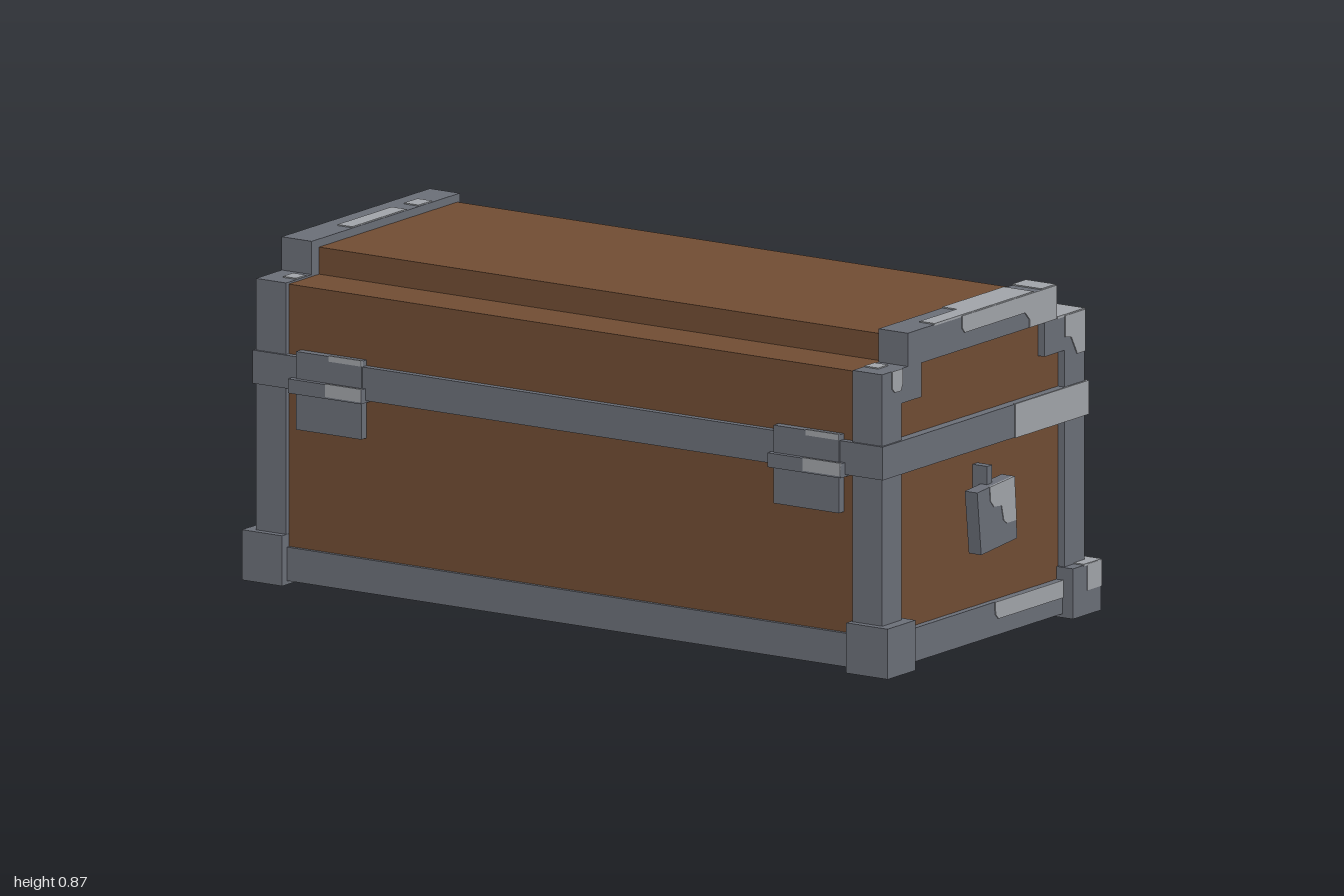
import * as THREE from 'three';

const mat = (name, color) => {
  const m = new THREE.MeshStandardMaterial({ color });
  m.name = name;
  return m;
};

export function createModel() {
  const wood = mat('brown wood', 0x704c33);
  const iron = mat('grey iron', 0x6a6e77);
  const worn = mat('worn light iron', 0xa0a3a8);
  const chest = new THREE.Group();
  chest.name = 'chest';

  const add = (name, geometry, material, parent = chest) => {
    const mesh = new THREE.Mesh(geometry, material);
    mesh.name = name;
    parent.add(mesh);
    return mesh;
  };
  // Box given by its limits on each axis
  const box = (name, material, x0, x1, y0, y1, z0, z1, parent) =>
    add(name, new THREE.BoxGeometry(x1 - x0, y1 - y0, z1 - z0)
      .translate((x0 + x1) / 2, (y0 + y1) / 2, (z0 + z1) / 2), material, parent);
  // Outline of [z, y] points extruded along x
  const slab = (name, material, x0, x1, points, parent) => {
    const shape = new THREE.Shape(points.map(p => new THREE.Vector2(...p)));
    const g = new THREE.ExtrudeGeometry(shape, { depth: x1 - x0, bevelEnabled: false });
    return add(name, g.rotateY(-Math.PI / 2).translate(x1, 0, 0), material, parent);
  };

  // Wooden body with stepped lid
  slab('woodenBody', wood, -0.94, 0.935, [
    [0.46, 0.02], [0.46, 0.775], [0.325, 0.775], [0.325, 0.845],
    [-0.29, 0.845], [-0.29, 0.775], [-0.418, 0.775], [-0.418, 0.02]]);

  // Stepped iron frame at each end
  const frame = [
    [0.472, 0.01], [0.472, 0.78], [0.358, 0.78], [0.358, 0.866],
    [-0.3, 0.866], [-0.3, 0.78], [-0.427, 0.78], [-0.427, 0.01],
    [-0.338, 0.01], [-0.338, 0.69], [-0.25, 0.69], [-0.25, 0.778],
    [0.297, 0.778], [0.297, 0.69], [0.385, 0.69], [0.385, 0.01]];
  slab('leftEndFrame', iron, 0.865, 0.955, frame);
  slab('rightEndFrame', iron, -0.96, -0.868, frame);

  // Base beams
  box('frontBaseBeam', iron, -0.87, 0.865, 0.01, 0.097, 0.385, 0.47);
  box('backBaseBeam', iron, -0.87, 0.865, 0.01, 0.097, -0.425, -0.338);
  box('leftBaseBeam', iron, 0.865, 0.953, 0.01, 0.097, -0.34, 0.387);
  box('rightBaseBeam', iron, -0.958, -0.868, 0.01, 0.097, -0.34, 0.387);

  // Corner feet
  for (const [x0, x1] of [[-0.99, -0.867], [0.858, 0.985]])
    for (const [z0, z1] of [[0.367, 0.491], [-0.457, -0.332]])
      box('cornerFoot', iron, x0, x1, 0, 0.13, z0, z1);

  // Band around the middle
  box('band', iron, -0.966, 0.961, 0.509, 0.595, -0.432, 0.478);

  // Hinges on the front
  for (const s of [-1, 1]) {
    const x = s * 0.73;
    box('hingePlate', iron, x - 0.1, x + 0.1, 0.408, 0.61, 0.45, 0.483);
    const k = s < 0 ? -0.733 : 0.733;
    box('hingeKnuckle', iron, k - 0.112, k + 0.112, 0.503, 0.54, 0.45, 0.497);
    box('hingeWear', worn, x, k + 0.112, 0.508, 0.542, 0.492, 0.499);
    box('hingeTopWear', worn, x, x + 0.1, 0.597, 0.612, 0.478, 0.485);
  }

  // Lock on the back
  box('lockPlate', iron, -0.13, 0.12, 0.427, 0.615, -0.478, -0.41);
  box('lockHasp', iron, -0.055, 0.045, 0.44, 0.602, -0.496, -0.47);
  box('lockTopWear', worn, -0.13, 0.122, 0.61, 0.617, -0.479, -0.432);
  box('lockSideWear', worn, 0.117, 0.122, 0.485, 0.616, -0.479, -0.432);
  box('lockFaceWear', worn, 0.045, 0.121, 0.485, 0.616, -0.48, -0.475);
  box('haspWear', worn, 0, 0.046, 0.5, 0.603, -0.498, -0.494);

  // Tilted pull on each end, turned half round for the right side
  for (const turn of [0, Math.PI]) {
    const pull = new THREE.Group();
    pull.name = turn ? 'rightPull' : 'leftPull';
    slab('pullBlock', iron, 0.96, 0.998,
      [[0.09, 0.412], [0.072, 0.248], [-0.088, 0.262], [-0.074, 0.425]], pull);
    slab('pullWear', worn, 0.994, 1.0,
      [[0.036, 0.417], [0.033, 0.38], [0.018, 0.363], [-0.016, 0.36],
        [-0.026, 0.32], [-0.04, 0.31], [-0.083, 0.31], [-0.074, 0.425]], pull);
    box('pullTab', iron, 0.93, 0.98, 0.4, 0.465, -0.003, 0.02, pull);
    box('pullMount', iron, 0.93, 0.965, 0.3, 0.38, -0.03, 0.03, pull);
    pull.rotation.y = turn;
    pull.position.z = 0.022;
    chest.add(pull);
  }

  // Worn patches on the left end
  const t = 0.003;
  slab('frameWear', worn, 0.952, 0.955 + t, [[0.12, 0.866], [0.12, 0.835], [0.108, 0.821],
    [-0.16, 0.821], [-0.18, 0.8], [-0.18, 0.779], [-0.3, 0.779], [-0.3, 0.866]]);
  slab('frontPostWear', worn, 0.952, 0.955 + t, [[0.43, 0.78], [0.43, 0.735], [0.418, 0.724],
    [0.392, 0.724], [0.384, 0.74], [0.384, 0.78]]);
  slab('backPostWear', worn, 0.952, 0.955 + t, [[-0.338, 0.78], [-0.338, 0.725], [-0.365, 0.72],
    [-0.382, 0.69], [-0.392, 0.672], [-0.428, 0.672], [-0.428, 0.78]]);
  box('bandEndWear', worn, 0.958, 0.964, 0.508, 0.596, -0.434, -0.108);
  slab('baseEndWear', worn, 0.951, 0.953 + t, [[-0.03, 0.097], [-0.032, 0.065], [-0.045, 0.052],
    [-0.332, 0.052], [-0.332, 0.097]]);
  box('footEndWear', worn, 0.982, 0.987, 0.063, 0.131, -0.459, -0.395);

  // Worn patches on upper faces
  const top = (x0, x1, y, z0, z1) => box('topWear', worn, x0, x1, y - t, y + t, z0, z1);
  top(-0.915, -0.87, 0.866, -0.18, -0.12);
  top(-0.915, -0.87, 0.866, -0.065, 0.175);
  top(0.865, 0.956, 0.866, -0.298, -0.235);
  top(0.865, 0.956, 0.866, -0.2, 0.075);
  top(0.91, 0.956, 0.866, 0.075, 0.24);
  top(-0.91, -0.868, 0.78, -0.428, -0.38);
  top(-0.91, -0.87, 0.78, 0.38, 0.425);
  top(0.868, 0.91, 0.78, 0.38, 0.425);
  top(0.865, 0.956, 0.78, -0.428, -0.305);
  top(0.87, 0.986, 0.13, -0.458, -0.38);

  // Worn patches on the back
  const back = (x0, x1, y0, y1, z) => box('backWear', worn, x0, x1, y0, y1, z - t, z + t);
  back(0.14, 0.355, 0.055, 0.098, -0.425);
  back(-0.46, -0.25, 0.055, 0.098, -0.425);
  back(-0.58, -0.44, 0.508, 0.596, -0.432);
  back(0.865, 0.957, 0.68, 0.781, -0.427);
  back(0.865, 0.91, 0.25, 0.45, -0.427);
  back(0.82, 0.963, 0.508, 0.596, -0.432);
  back(0.9, 0.986, 0.063, 0.131, -0.457);
  back(-0.915, -0.868, 0.2, 0.42, -0.427);
  back(-0.915, -0.868, 0.69, 0.781, -0.427);
  back(-0.93, -0.866, 0.07, 0.131, -0.457);

  return chest;
}
